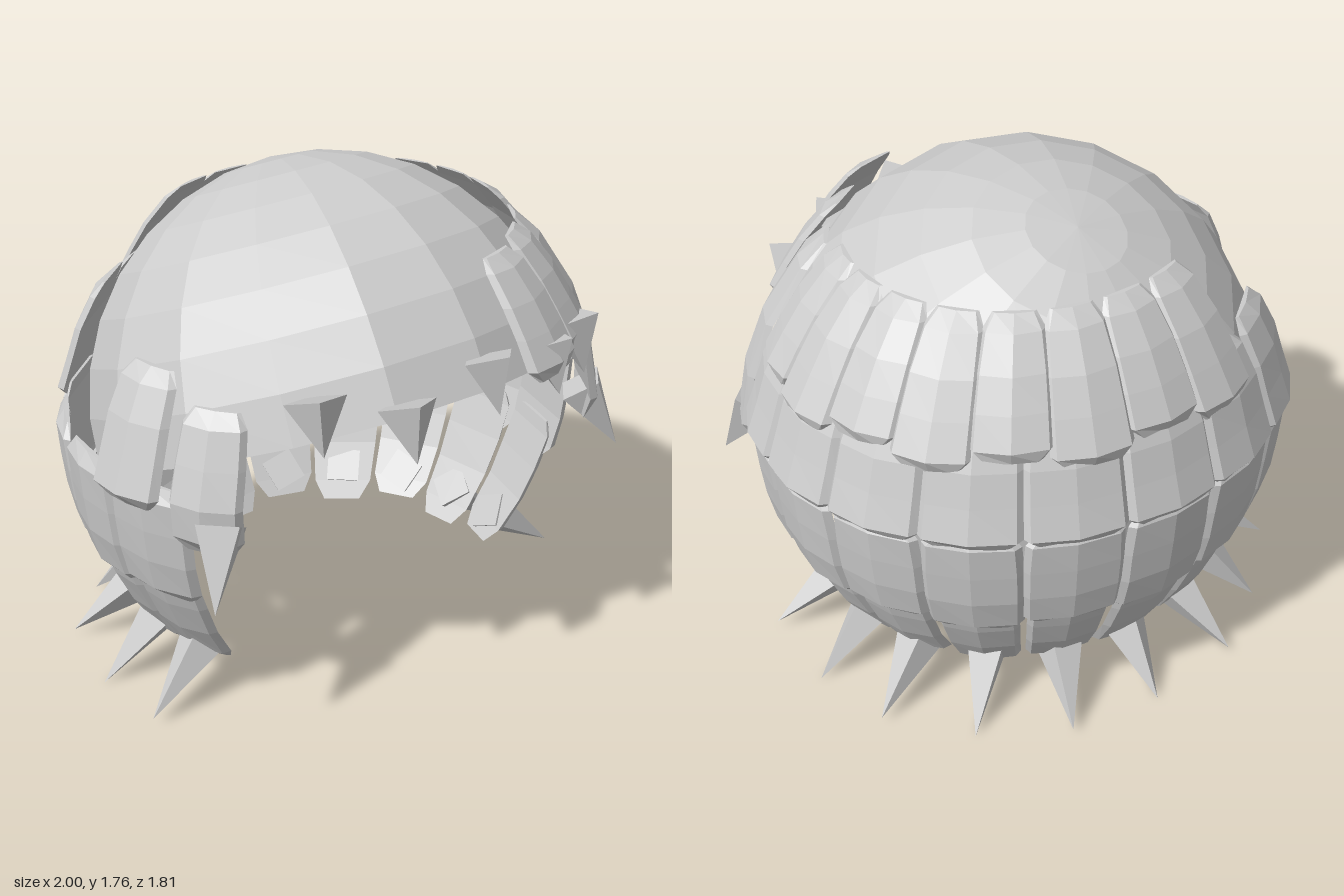
import * as THREE from 'three';

const hair = new THREE.MeshStandardMaterial({ color: 0xcccccc, flatShading: true, side: THREE.DoubleSide });
hair.name = 'hair grey';

// outline of the hairdo: [height, radius] of the outer surface
const OUTLINE = [[0.1, 0.63], [0.2, 0.7], [0.35, 0.79], [0.6, 0.88], [0.92, 0.915],
  [1.2, 0.83], [1.38, 0.735], [1.5, 0.65], [1.6, 0.56]];

function radiusAt(y) {
  for (let i = 1; i < OUTLINE.length; i++) {
    const [y0, r0] = OUTLINE[i - 1], [y1, r1] = OUTLINE[i];
    if (y <= y1) return r0 + (r1 - r0) * (y - y0) / (y1 - y0);
  }
  return 0.56;
}

// azimuth is measured from the back, positive toward +x; side is along the tangent
function place(az, r, y, side = 0) {
  const a = THREE.MathUtils.degToRad(az), s = Math.sin(a), c = Math.cos(a);
  return new THREE.Vector3((r * s + side * c) * 1.07, y, (-r * c + side * s) * 0.97);
}

// ridged strip of hair with chamfered ends, following the outline from top to bottom
function lock(name, az, top, bottom, degrees, lift) {
  const pos = [], index = [], h = top - bottom;
  const rings = [[0, 0.7, 0.35], [0.1, 0.95, 0.9], [0.36, 1, 1], [0.62, 1, 1], [0.88, 1, 1.1], [1, 0.68, 0.3]];
  for (const [t, ws, ts] of rings) {
    const y = top - h * t, outer = radiusAt(y) + lift, inner = outer - 0.042;
    const w = outer * Math.tan(THREE.MathUtils.degToRad(degrees / 2)) * ws;
    const face = inner + 0.026 * ts, ridge = inner + 0.047 * ts;
    for (const [side, r] of [[-w, inner], [-w * 0.88, face], [0, ridge], [w * 0.88, face], [w, inner]]) {
      pos.push(...place(az, r, y, side).toArray());
    }
  }
  const n = 5, last = (rings.length - 1) * n;
  for (let i = 0; i < rings.length - 1; i++) {
    for (let j = 0; j < n; j++) {
      const a = i * n + j, b = i * n + (j + 1) % n;
      index.push(a, a + n, b, b, a + n, b + n);
    }
  }
  for (let j = 1; j < n - 1; j++) index.push(0, j, j + 1, last, last + j + 1, last + j);
  const g = new THREE.BufferGeometry();
  g.setAttribute('position', new THREE.Float32BufferAttribute(pos, 3));
  g.setIndex(index);
  g.computeVertexNormals();
  const mesh = new THREE.Mesh(g, hair);
  mesh.name = name;
  return mesh;
}

// pointed hair tip between two points
function spike(name, base, tip, radius) {
  const dir = tip.clone().sub(base), len = dir.length();
  const mesh = new THREE.Mesh(new THREE.ConeGeometry(radius, len, 4), hair);
  mesh.position.copy(base).add(tip).multiplyScalar(0.5);
  mesh.quaternion.setFromUnitVectors(new THREE.Vector3(0, 1, 0), dir.normalize());
  mesh.name = name;
  return mesh;
}

export function createModel() {
  const model = new THREE.Group();
  model.name = 'wig';

  // open skull cap, tilted back
  const cap = new THREE.Mesh(
    new THREE.SphereGeometry(0.86, 16, 8, 0, Math.PI * 2, 0, Math.PI / 2 + 0.03), hair);
  cap.position.set(0, 0.9, 0.025);
  cap.rotation.x = -0.41;
  cap.name = 'skullCap';
  model.add(cap);

  // crown row, swept to one side
  for (let i = -1; i <= 6; i++) {
    model.add(lock('crownLock', i * 17, 1.58, i % 2 ? 1.15 : 1.19, 17.5, 0.035));
  }
  model.add(lock('frontLock', 142, 1.56, 1.18, 17, 0.06));
  model.add(lock('frontLock', 163, 1.57, 1.2, 16, 0.11));

  // second row
  for (let i = -2; i <= 5; i++) model.add(lock('upperLock', i * 21, 1.32, 0.88, 20.5, 0.015));

  // two lower rows all round the back, ending in flicked tips
  for (let i = -5; i <= 5; i++) {
    const az = i * 21, wobble = i % 2 ? 0.03 : 0;
    model.add(lock('middleLock', az, 0.94, 0.45 + wobble, 20.5, 0.005));
    model.add(lock('lowerLock', az, 0.62, 0.11 + wobble, 18.5, -0.012));
    model.add(spike('lowerTip', place(az, 0.65, 0.23), place(az, 0.88 + wobble, wobble), 0.09));
  }

  // long locks in front of the ears
  model.add(lock('sideLock', 122, 1.54, 0.76, 17, 0.045));
  model.add(lock('sideLock', -101, 1.3, 0.86, 17, 0.035));
  model.add(lock('sideLock', -120, 1.22, 0.75, 15, 0.03));
  for (const s of [-1, 1]) {
    model.add(spike('sideTip', place(s * 123, 0.9, 0.86), place(s * 125, 1.04, 0.62), 0.1));
  }

  // fringe tips along the front rim
  for (const [x, top, bottom, z] of [[-0.56, 1.29, 1.12, 0.64], [-0.31, 1.25, 1.07, 0.78],
    [0, 1.33, 1.15, 0.81], [0.29, 1.29, 1.12, 0.78], [0.54, 1.26, 1.07, 0.65]]) {
    model.add(spike('fringeTip', new THREE.Vector3(x, top, z),
      new THREE.Vector3(x * 1.03, bottom, z + 0.065), 0.1));
  }
  return model;
}
